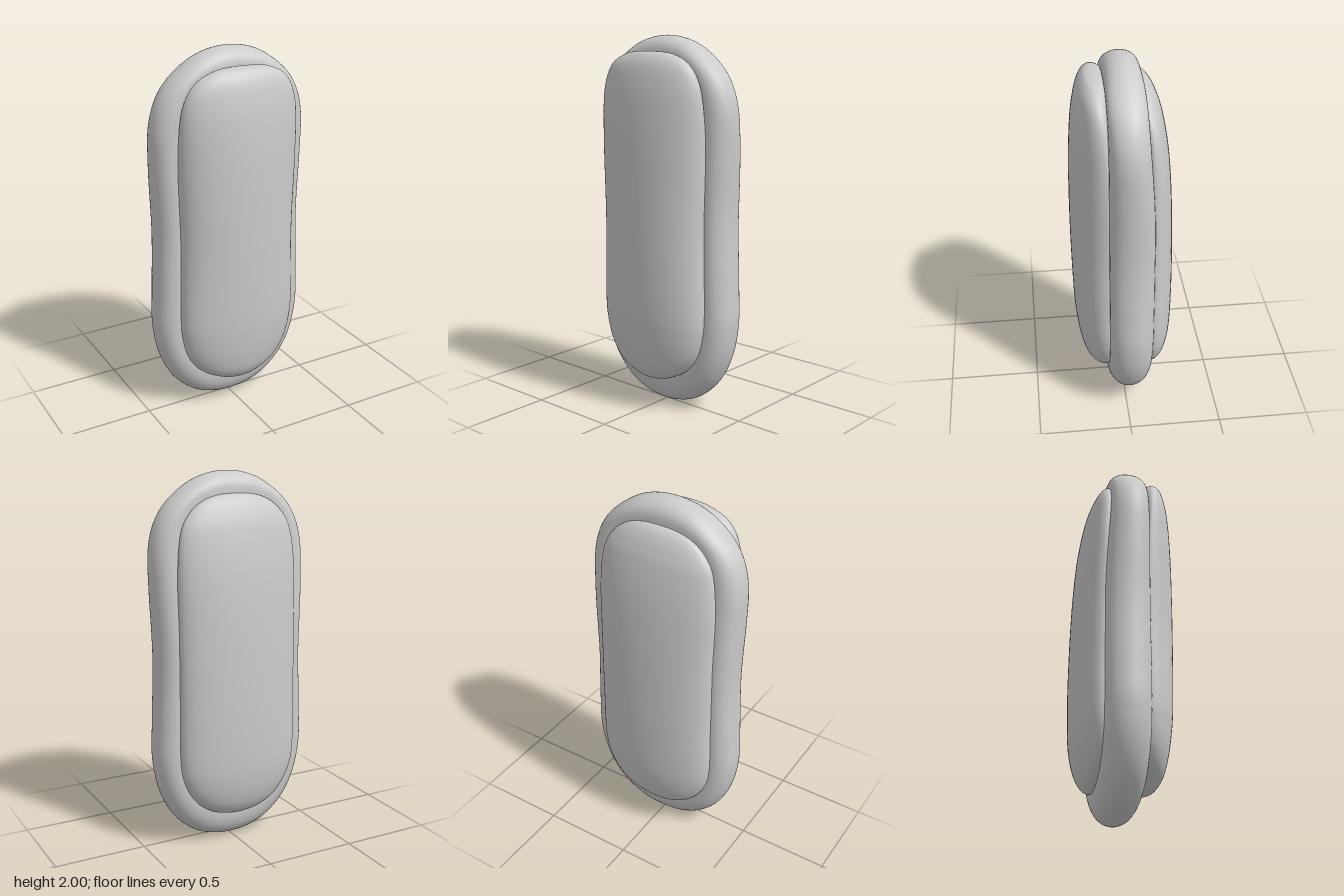
import * as THREE from 'three';
import { mergeVertices } from 'three/addons/utils/BufferGeometryUtils.js';

const material = new THREE.MeshStandardMaterial({ color: 0xcccccc });

// Smooth skin over a list of closed rings with equal point counts.
function skin(rings) {
  const n = rings[0].length;
  const positions = rings.flat().flatMap((p) => [p.x, p.y, p.z]);
  const index = [];
  for (let i = 0; i < rings.length - 1; i++) {
    for (let j = 0; j < n; j++) {
      const k = (j + 1) % n;
      const a = i * n + j, b = a + n, c = (i + 1) * n + k, d = i * n + k;
      index.push(a, b, c, a, c, d);
    }
  }
  let geometry = new THREE.BufferGeometry();
  geometry.setAttribute('position', new THREE.Float32BufferAttribute(positions, 3));
  geometry.setIndex(index);
  geometry = mergeVertices(geometry, 1e-5);
  geometry.computeVertexNormals();
  return geometry;
}

const spline = (points, closed = false) => new THREE.CatmullRomCurve3(points, closed, 'catmullrom', 0.5);

// Domed biscuit: elliptical sections stacked from top to bottom.
// Each station is [y, half width, depth of the widest line, depth of the dome].
function biscuit(name, stations) {
  const sides = spline(stations.map(([y, w, z]) => new THREE.Vector3(w, y, z)));
  const dome = spline(stations.map(([y, , , peak]) => new THREE.Vector3(peak, y, 0)));
  const rows = 90, around = 64, rings = [];
  for (let i = 0; i <= rows; i++) {
    const s = sides.getPoint(i / rows);
    const rise = Math.max(0, dome.getPoint(i / rows).x - s.z);
    const under = Math.min(0.07, rise);
    const ring = [];
    for (let j = 0; j < around; j++) {
      const angle = (j / around) * Math.PI * 2;
      const sin = Math.sin(angle);
      ring.push(new THREE.Vector3(s.x * Math.cos(angle), s.y, s.z - sin * (sin < 0 ? rise : under)));
    }
    rings.push(ring);
  }
  const mesh = new THREE.Mesh(skin(rings), material);
  mesh.name = name;
  return mesh;
}

// Closed outline from its right half, listed top to bottom.
function outline(half, count) {
  const right = half.map(([x, y]) => new THREE.Vector3(x, y, 0));
  const left = half.slice(1, -1).reverse().map(([x, y]) => new THREE.Vector3(-x, y, 0));
  const curve = spline([...right, ...left], true);
  return Array.from({ length: count }, (_, i) => curve.getPoint(i / count));
}

// Filling: a bulging rim between an inner and an outer outline.
function filling() {
  const count = 160, steps = 20;
  const outer = outline([
    [0, 2], [0.16, 1.97], [0.3, 1.88], [0.39, 1.77], [0.435, 1.62], [0.437, 1.4],
    [0.424, 1.05], [0.435, 0.7], [0.44, 0.5], [0.405, 0.31], [0.32, 0.15], [0.18, 0.04], [0, 0.003],
  ], count);
  const inner = outline([
    [0, 1.9], [0.15, 1.885], [0.24, 1.84], [0.305, 1.74], [0.33, 1.6], [0.333, 1.4],
    [0.325, 1.05], [0.333, 0.7], [0.325, 0.48], [0.285, 0.34], [0.215, 0.25], [0.11, 0.19], [0, 0.175],
  ], count);
  const front = 0.095;
  const back = (y) => -THREE.MathUtils.lerp(0.14, 0.1, THREE.MathUtils.smoothstep(y, 1.1, 1.95));
  const rings = [];
  for (let i = 0; i <= steps; i++) {
    const angle = (i / steps - 0.5) * Math.PI;
    const bulge = Math.pow(Math.max(0, Math.cos(angle)), 0.85);
    rings.push(outer.map((p, j) => {
      const point = inner[j].clone().lerp(p, bulge);
      const middle = (front + back(p.y)) / 2;
      point.z = middle + (front - middle) * Math.sin(angle);
      return point;
    }));
  }
  // flat faces hidden under the biscuits
  const centre = (z) => outer.map(() => new THREE.Vector3(0, 1, z));
  rings.unshift(centre(-0.14));
  rings.push(centre(front));
  const mesh = new THREE.Mesh(skin(rings), material);
  mesh.name = 'filling';
  return mesh;
}

export function createModel() {
  const group = new THREE.Group();
  group.name = 'sandwichBiscuit';

  const frontBiscuit = biscuit('frontBiscuit', [
    [1.92, 0, 0.14, 0.14], [1.917, 0.08, 0.14, 0.165], [1.905, 0.16, 0.14, 0.19],
    [1.86, 0.25, 0.135, 0.22], [1.78, 0.305, 0.125, 0.242], [1.65, 0.332, 0.115, 0.26],
    [1.4, 0.338, 0.1, 0.273], [1.0, 0.329, 0.095, 0.275], [0.6, 0.338, 0.1, 0.266],
    [0.45, 0.328, 0.1, 0.255], [0.33, 0.293, 0.1, 0.238], [0.24, 0.225, 0.105, 0.215],
    [0.185, 0.13, 0.11, 0.18], [0.168, 0.065, 0.11, 0.15], [0.162, 0, 0.11, 0.11],
  ]);

  const backBiscuit = biscuit('backBiscuit', [
    [1.89, 0, 0.1, 0.1], [1.885, 0.09, 0.1, 0.118], [1.86, 0.18, 0.105, 0.146],
    [1.8, 0.26, 0.11, 0.178], [1.7, 0.315, 0.12, 0.208], [1.5, 0.338, 0.13, 0.24],
    [1.2, 0.338, 0.135, 0.262], [0.8, 0.338, 0.14, 0.273], [0.5, 0.338, 0.14, 0.27],
    [0.36, 0.308, 0.14, 0.257], [0.26, 0.245, 0.14, 0.232], [0.2, 0.165, 0.143, 0.2],
    [0.172, 0.08, 0.143, 0.17], [0.163, 0, 0.143, 0.143],
  ]);
  backBiscuit.rotation.y = Math.PI;

  group.add(frontBiscuit, filling(), backBiscuit);
  return group;
}
